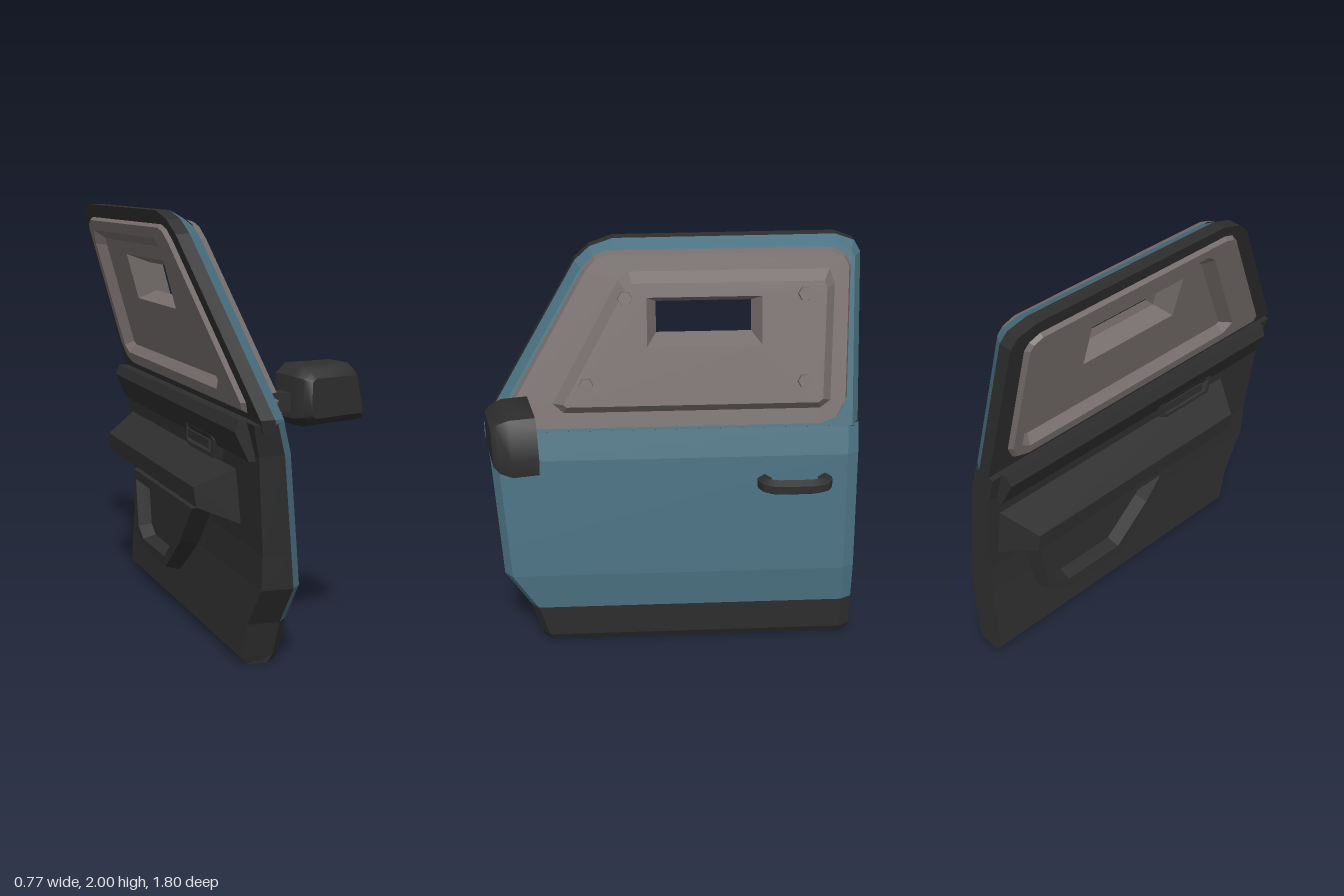
import * as THREE from 'three';
import { toCreasedNormals } from 'three/addons/utils/BufferGeometryUtils.js';

const material = (name, color) => {
  const m = new THREE.MeshStandardMaterial({ color });
  m.name = name;
  return m;
};

// Outlines are [u, v] points, counter-clockwise seen from outside the door: u = -z, v = y.
// w is the distance outward; slope leans the surface inward with height.
const at = (p, w, slope) => [w - slope * (p[1] - 1.15), p[1], -p[0]];

// Moves every side of an outline inward by d
function inset(pts, d) {
  const n = pts.length;
  const normal = (a, b) => {
    const dx = b[0] - a[0], dy = b[1] - a[1], l = Math.hypot(dx, dy);
    return [-dy / l, dx / l];
  };
  return pts.map((p, i) => {
    const a = normal(pts[(i + n - 1) % n], p), b = normal(p, pts[(i + 1) % n]);
    const k = d / (1 + a[0] * b[0] + a[1] * b[1]);
    return [p[0] + k * (a[0] + b[0]), p[1] + k * (a[1] + b[1])];
  });
}

// Strip of quads between an outer and an inner outline
function band(A, wA, B, wB, slope = 0, flip = false) {
  const out = [];
  A.forEach((_, i) => {
    const j = (i + 1) % A.length;
    const a = at(A[i], wA, slope), b = at(A[j], wA, slope), c = at(B[j], wB, slope), d = at(B[i], wB, slope);
    out.push(...(flip ? [a, c, b, a, d, c] : [a, b, c, a, c, d]));
  });
  return out;
}

// Flat face with an optional hole
function plate(outline, hole, w, slope = 0, flip = false) {
  const v2 = (l) => l.map((p) => new THREE.Vector2(...p));
  const all = [...outline, ...(hole || [])];
  return THREE.ShapeUtils.triangulateShape(v2(outline), hole ? [v2(hole)] : [])
    .flatMap(([a, b, c]) => (flip ? [a, c, b] : [a, b, c]).map((i) => at(all[i], w, slope)));
}

const rect = (u0, v0, u1, v1) => [[u0, v0], [u1, v0], [u1, v1], [u0, v1]];

export function createModel() {
  const group = new THREE.Group();
  group.name = 'armouredDoor';
  const blue = material('bluePaint', 0x4a7080);
  const grey = material('armourGrey', 0x766e6c);
  const dark = material('darkTrim', 0x2e2e2e);
  const glass = material('mirrorGlass', 0x0a80b4);

  const add = (name, geometry, mat, parent = group) => {
    const mesh = new THREE.Mesh(geometry, mat);
    mesh.name = name;
    parent.add(mesh);
    return mesh;
  };
  const skin = (name, mat, points, parent = group, crease = 0) => {
    let g = new THREE.BufferGeometry();
    g.setAttribute('position', new THREE.Float32BufferAttribute(points.flat(), 3));
    g.computeVertexNormals();
    if (crease) g = toCreasedNormals(g, crease);
    return add(name, g, mat, parent);
  };

  // Lower door: rows of [y, front z, outer x, inner x]
  const rows = [
    [0, 0.66, 0.025, -0.11], [0.04, 0.67, 0.047, -0.145], [0.21, 0.72, 0.057, -0.135],
    [0.4, 0.84, 0.066, -0.12], [0.56, 0.85, 0.049, -0.12], [1.0, 0.88, 0.0, -0.155], [1.14, 0.905, -0.043, -0.19],
  ].map(([y, zF, xo, xi]) => [
    [xo, y, zF - 0.04], [xo, y, -0.845], [xo - 0.03, y, -0.9],
    [xi, y, -0.9], [xi, y, zF - 0.02], [xo - 0.045, y, zF],
  ]);
  const painted = [], bare = [];
  for (let r = 0; r < rows.length - 1; r++) {
    for (let i = 0; i < 6; i++) {
      const j = (i + 1) % 6, A = rows[r], B = rows[r + 1];
      const outside = i === 0 || i === 1 || i === 5;
      (outside && r > 1 ? painted : bare).push(A[i], A[j], B[j], A[i], B[j], B[i]);
    }
  }
  const top = rows[rows.length - 1];
  for (let i = 1; i < 5; i++) {
    bare.push(rows[0][0], rows[0][i + 1], rows[0][i]);
    bare.push(top[0], top[i], top[i + 1]);
  }
  skin('doorSkin', blue, painted);
  skin('doorCore', dark, bare);

  // Window frame
  const S = 0.27;
  const frame = [[-0.895, 1.1], [0.9, 1.1], [0.9, 1.92], [0.87, 1.97], [0.78, 2], [-0.27, 1.995],
    [-0.38, 1.96], [-0.45, 1.9], [-0.905, 1.16]];
  const flange = [[-0.79, 1.15], [0.7, 1.15], [0.79, 1.18], [0.835, 1.27], [0.845, 1.88], [0.82, 1.925],
    [0.76, 1.955], [-0.3, 1.955], [-0.36, 1.935], [-0.41, 1.88], [-0.81, 1.22]];
  const face = inset(frame, 0.035);
  skin('windowFramePaint', blue, [
    ...band(frame, -0.1, face, -0.045, S), ...plate(face, flange, -0.045, S)]);
  const innerFlange = inset(flange, 0.02);
  skin('windowFrameCore', dark, [
    ...band(frame, -0.165, frame, -0.1, S), ...plate(frame, innerFlange, -0.165, S, true)]);

  // Armour panel with a vision slit, raised outside and recessed inside
  const raised = [[-0.57, 1.28], [-0.52, 1.235], [0.7, 1.235], [0.75, 1.27], [0.765, 1.8], [0.74, 1.87],
    [-0.2, 1.87], [-0.25, 1.83]];
  const lip = inset(flange, 0.012), step = inset(raised, 0.042);
  const slitRim = rect(-0.12, 1.545, 0.42, 1.765), slit = rect(-0.075, 1.585, 0.375, 1.725);
  skin('armourPanelOuter', grey, [
    ...band(flange, -0.045, lip, -0.012, S), ...plate(lip, raised, -0.012, S),
    ...band(raised, -0.012, step, 0.032, S), ...plate(step, slitRim, 0.032, S),
    ...band(slitRim, 0.032, slit, -0.05, S)]);
  const innerLip = inset(flange, 0.035);
  skin('armourPanelInner', grey, [
    ...band(innerFlange, -0.165, innerLip, -0.185, S, true), ...plate(innerLip, raised, -0.185, S, true),
    ...band(raised, -0.185, step, -0.14, S, true), ...plate(step, slitRim, -0.14, S, true),
    ...band(slitRim, -0.14, slit, -0.05, S, true)]);

  // Hex bolts
  for (const p of [[-0.22, 1.765], [0.62, 1.775], [0.62, 1.38], [-0.41, 1.38]]) {
    const bolt = add('bolt', new THREE.CylinderGeometry(0.033, 0.036, 0.035, 6).toNonIndexed(), grey);
    bolt.geometry.computeVertexNormals();
    bolt.position.set(...at(p, 0.04, S));
    bolt.rotation.z = Math.atan(S) - Math.PI / 2;
  }

  // Inside trim: profiles in x and y, run along z and tapered toward the cabin
  const trim = (name, profile, z0, z1, taper) => {
    const shape = new THREE.Shape(profile.map((p) => new THREE.Vector2(...p)));
    const g = new THREE.ExtrudeGeometry(shape, { depth: z1 - z0, bevelEnabled: false });
    const pos = g.attributes.position;
    for (let i = 0; i < pos.count; i++) {
      const t = pos.getZ(i) > 0 ? z1 : z0;
      pos.setZ(i, t + Math.sign(t) * taper * (pos.getX(i) + 0.1));
    }
    g.computeVertexNormals();
    add(name, g, dark);
  };
  trim('windowSill', [[-0.13, 0.97], [-0.13, 1.14], [-0.22, 1.15], [-0.24, 1.1], [-0.18, 0.97]], -0.87, 0.83, 0.2);
  trim('armrest', [[-0.1, 0.63], [-0.1, 0.92], [-0.145, 0.89], [-0.31, 0.8], [-0.3, 0.71]], -0.87, 0.62, 0.55);

  // Raised rims on the inside: storage pocket and inner handle
  const rim = (name, outline, base, height, bevel, width, floor) => {
    const edge = inset(outline, bevel), hole = inset(outline, width), bottom = inset(outline, width + 0.015);
    skin(name, dark, [
      ...band(outline, base, edge, height, 0, true), ...plate(edge, hole, height, 0, true),
      ...band(hole, height, bottom, floor, 0, true), ...plate(bottom, null, floor, 0, true)]);
  };
  rim('storagePocket', [[0.15, 0.2], [0.53, 0.2], [0.65, 0.28], [0.7, 0.6], [0.66, 0.645], [-0.27, 0.645], [-0.07, 0.4]],
    -0.11, -0.208, 0.025, 0.075, -0.14);
  rim('innerHandleSurround', [[-0.45, 0.9], [-0.15, 0.9], [-0.1, 0.93], [-0.1, 1.04], [-0.42, 1.04], [-0.48, 1]],
    -0.14, -0.2, 0.012, 0.03, -0.175);
  const lever = add('innerHandleLever', new THREE.BoxGeometry(0.02, 0.04, 0.26), dark);
  lever.position.set(-0.188, 0.965, 0.27);

  // Outer pull handle
  const path = new THREE.CatmullRomCurve3([[0, -0.44], [0.055, -0.445], [0.08, -0.5], [0.08, -0.67], [0.055, -0.73], [0, -0.735]]
    .map(([x, z]) => new THREE.Vector3(x, 0.87, z)), false, 'catmullrom', 0.3);
  const pull = new THREE.TubeGeometry(path, 20, 0.039, 6).toNonIndexed();
  add('outerHandle', toCreasedNormals(pull, 0.5), dark);

  // Wing mirror
  const mirror = new THREE.Group();
  mirror.name = 'wingMirror';
  mirror.position.set(0.005, 0, 0.69);
  mirror.rotation.y = 0.2 - Math.PI / 2;
  group.add(mirror);
  const shell = [[0.04, 1.1], [0.34, 1.1], [0.35, 1.18], [0.31, 1.32], [0.28, 1.355], [0.04, 1.36], [-0.01, 1.32], [-0.01, 1.14]];
  const open = inset(shell, 0.03), s1 = inset(shell, 0.02), s2 = inset(shell, 0.045);
  skin('mirrorShell', dark, [
    ...plate(shell, open, 0, 0, true), ...band(open, 0, open, 0.015, 0, true),
    ...band(shell, 0, shell, 0.12), ...band(shell, 0.12, s1, 0.175), ...band(s1, 0.175, s2, 0.2),
    ...plate(s2, null, 0.2)], mirror, 0.75);
  skin('mirrorGlass', glass, plate(open, null, 0.015, 0, true), mirror);
  const arm = add('mirrorArm', new THREE.BoxGeometry(0.16, 0.08, 0.07), dark);
  arm.position.set(-0.02, 1.21, 0.765);

  return group;
}
